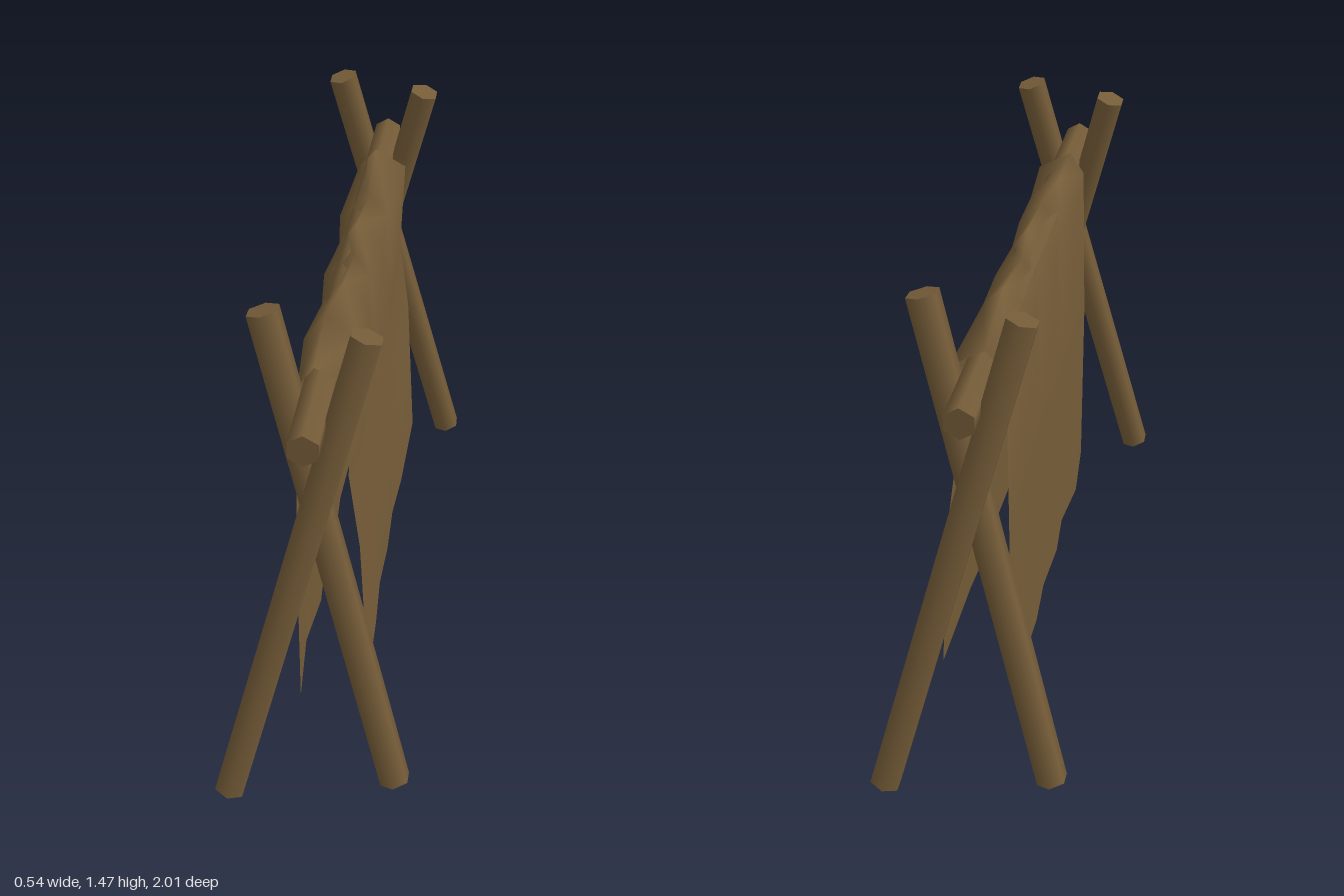
import * as THREE from 'three';

const wood = new THREE.MeshStandardMaterial({ color: 0x755c38 });
wood.name = 'wood brown';
const hide = new THREE.MeshStandardMaterial({ color: 0x755c38, side: THREE.DoubleSide });
hide.name = 'hide brown';

// six-sided pole between two points
function pole(name, a, b, radius) {
  const from = new THREE.Vector3(...a), to = new THREE.Vector3(...b);
  const dir = to.clone().sub(from);
  const mesh = new THREE.Mesh(new THREE.CylinderGeometry(radius, radius, dir.length(), 6), wood);
  mesh.position.copy(from).add(to).multiplyScalar(0.5);
  mesh.quaternion.setFromUnitVectors(new THREE.Vector3(0, 1, 0), dir.normalize());
  mesh.name = name;
  return mesh;
}

// two crossed legs that lean inward
function crossedLegs(name) {
  const g = new THREE.Group();
  g.name = name;
  g.add(pole('outerLeg', [-0.232, 0.012, 0.957], [0.137, 1.458, 0.797], 0.046));
  g.add(pole('innerLeg', [0.232, 0.012, 0.863], [-0.137, 1.458, 0.705], 0.046));
  return g;
}

// sheet hung over the pole: each row runs along z, from one hem over the ridge to the other
function drapedHide() {
  const zs = [0.67, 0.43, 0.24, 0.07, -0.12, -0.3, -0.65];
  const ridgeY = [1.275, 1.29, 1.285, 1.28, 1.28, 1.28, 1.275];
  const rows = [
    { y: 0.215, x: [0.13, 0.125, 0.115, 0.12, 0.115, 0.125, 0.13] },
    { y: 0.7, x: [0.105, 0.088, 0.1, 0.106, 0.1, 0.088, 0.105] },
    { y: 0.94, x: [0.074, 0.084, 0.086, 0.08, 0.086, 0.084, 0.074] },
    { y: 1.22, x: [0.086, 0.07, 0.072, 0.06, 0.072, 0.07, 0.086] },
    { y: ridgeY, x: [-0.015, -0.02, 0.005, 0.015, -0.005, 0.01, -0.01] },
    { y: 1.21, x: [-0.06, -0.08, -0.058, -0.076, -0.058, -0.08, -0.065] },
    { y: 0.7, x: [-0.072, -0.093, -0.064, -0.084, -0.062, -0.086, -0.07] },
    { y: 0.12, x: [-0.07, -0.09, -0.072, -0.084, -0.074, -0.084, -0.075] },
  ];
  const pos = [], index = [], n = zs.length;
  rows.forEach((row, r) => zs.forEach((z, c) => {
    pos.push(row.x[c], Array.isArray(row.y) ? row.y[c] : row.y, z);
    if (r === 0 || c === 0) return;
    const d = r * n + c, b = d - n;
    // alternate the diagonals so the folds form pointed creases
    if (c % 2) index.push(b - 1, b, d - 1, b, d, d - 1);
    else index.push(b - 1, b, d, b - 1, d, d - 1);
  }));
  const geo = new THREE.BufferGeometry();
  geo.setAttribute('position', new THREE.Float32BufferAttribute(pos, 3));
  geo.setIndex(index);
  geo.computeVertexNormals();
  const mesh = new THREE.Mesh(geo, hide);
  mesh.name = 'drapedHide';
  return mesh;
}

export function createModel() {
  const model = new THREE.Group();
  model.name = 'dryingRack';
  const back = crossedLegs('backLegs');
  back.rotation.y = Math.PI;
  model.add(crossedLegs('frontLegs'), back);
  model.add(pole('ridgePole', [0, 1.218, -0.92], [0, 1.218, 0.96], 0.046));
  model.add(drapedHide());
  return model;
}
